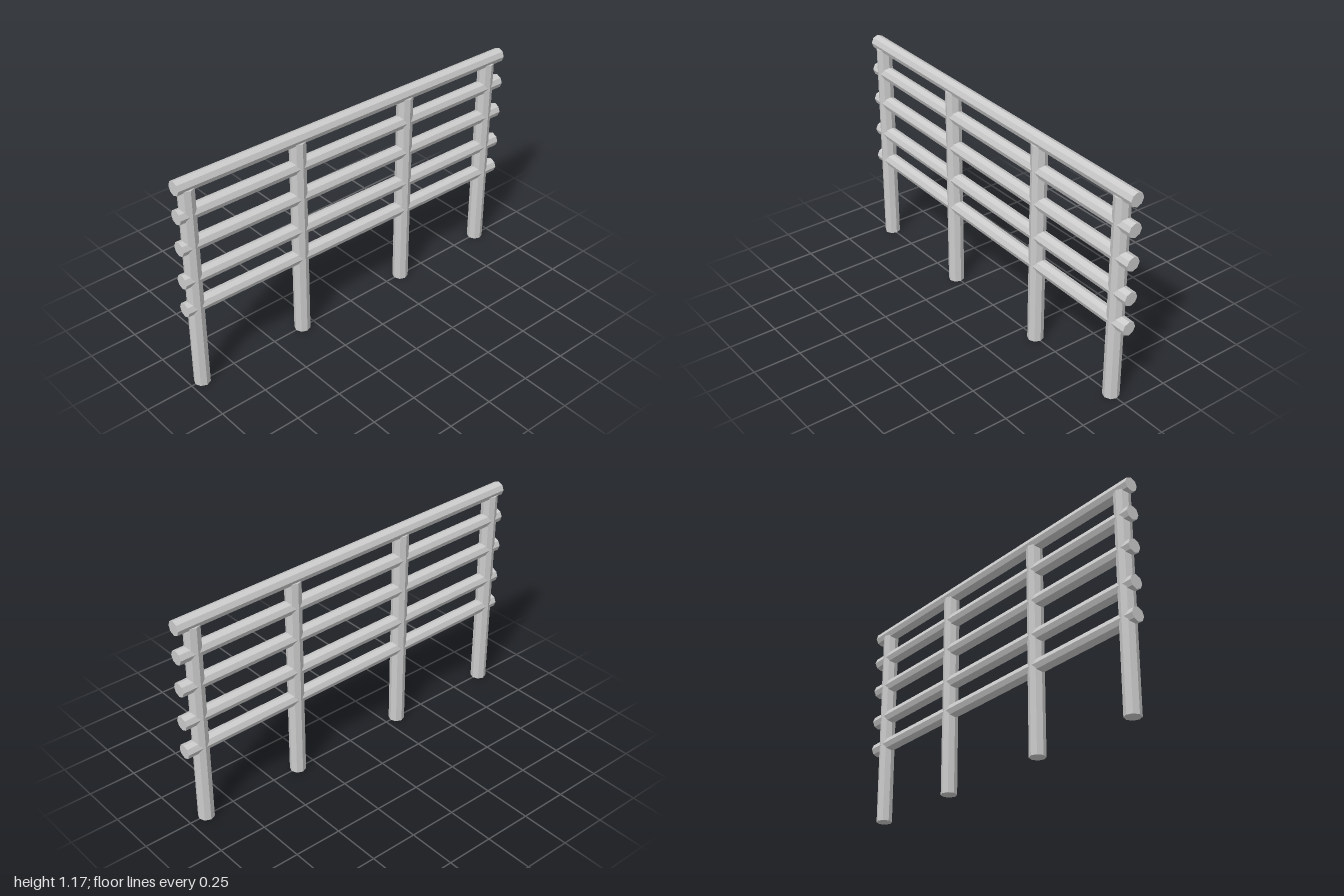
import * as THREE from 'three';

export function createModel() {
  const model = new THREE.Group();
  model.name = 'railFence';
  const material = new THREE.MeshStandardMaterial({ color: 0xcccccc, flatShading: true });
  const SIDES = 8;
  const slope = Math.atan(0.0185); // rails descend gently toward the back

  // Upright posts, with tops buried in the top rail
  const postRadius = 0.041;
  [0.938, 0.322, -0.347, -0.908].forEach((z, i) => {
    const height = 1.095 + z * Math.tan(slope);
    const post = new THREE.Mesh(new THREE.CylinderGeometry(postRadius, postRadius, height, SIDES), material);
    post.position.set(0, height / 2, z);
    post.name = `post${i + 1}`;
    model.add(post);
  });

  // Sloping rails running along z, listed by height at mid length
  const railRadius = 0.037;
  const railGeometry = new THREE.CylinderGeometry(railRadius, railRadius, 1.999, SIDES);
  railGeometry.rotateX(Math.PI / 2 - slope);
  [0.446, 0.607, 0.79, 0.961, 1.113].forEach((y, i, all) => {
    const rail = new THREE.Mesh(railGeometry, material);
    rail.position.y = y;
    rail.name = i === all.length - 1 ? 'topRail' : `rail${i + 1}`;
    model.add(rail);
  });

  return model;
}
